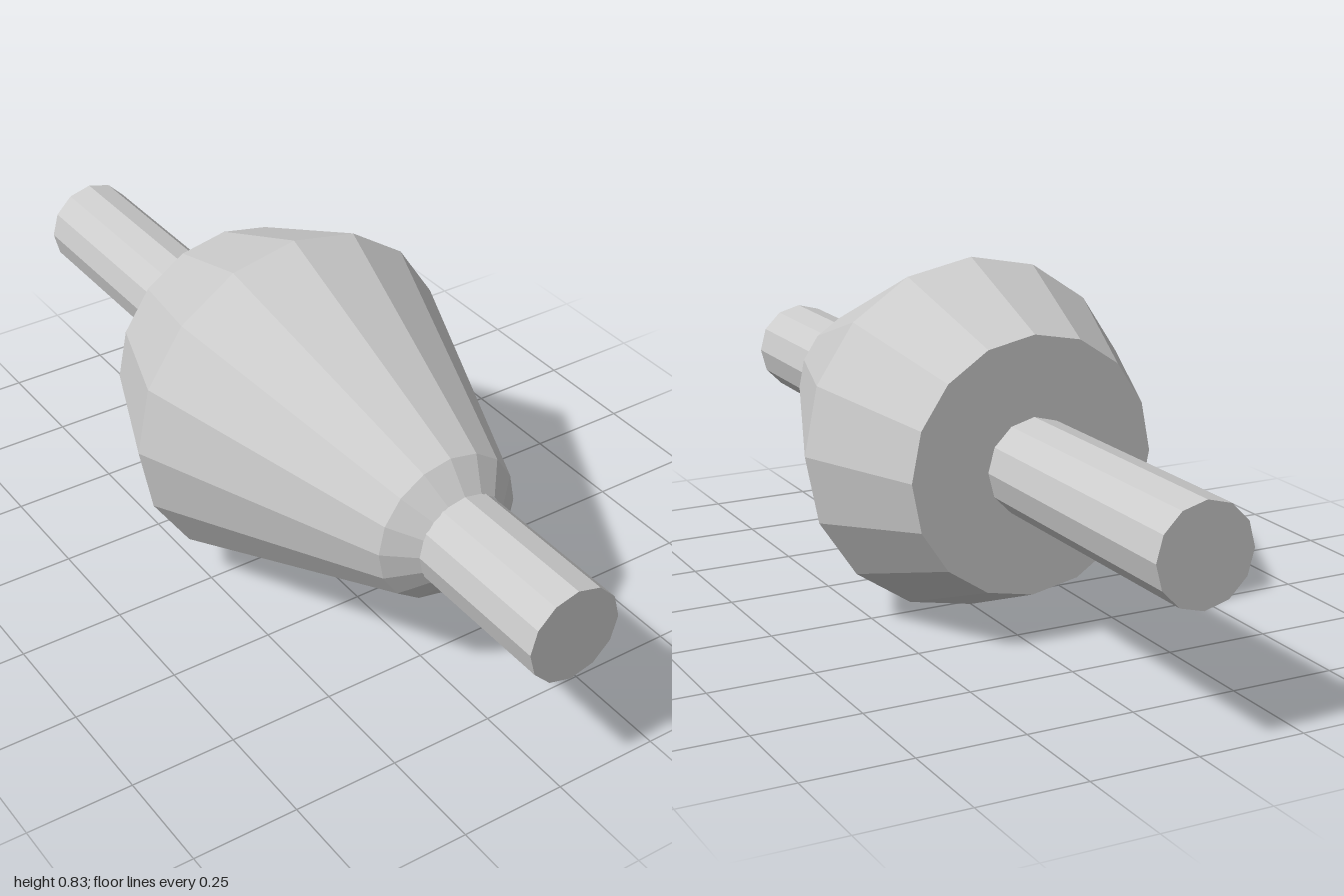
import * as THREE from 'three';

const AXIS_Y = 0.418;

export function createModel() {
  const model = new THREE.Group();
  model.name = 'spindle';
  const material = new THREE.MeshStandardMaterial({ color: 0xcccccc, flatShading: true });

  // Turns a y-axis solid so that its axis points to the front
  const addPart = (name, geometry) => {
    const mesh = new THREE.Mesh(geometry.rotateX(Math.PI / 2), material);
    mesh.name = name;
    mesh.position.y = AXIS_Y;
    model.add(mesh);
  };

  // Sixteen-sided tapered body: [radius, z] from the flat back to the front collar
  const profile = [[0.1, -0.32], [0.297, -0.32], [0.417, -0.02], [0.179, 0.575], [0.113, 0.63]];
  addPart('body', new THREE.LatheGeometry(profile.map(([r, z]) => new THREE.Vector2(r, z)), 16));

  // Twelve-sided rod running through the body
  addPart('rod', new THREE.CylinderGeometry(0.113, 0.113, 2, 12));

  return model;
}
